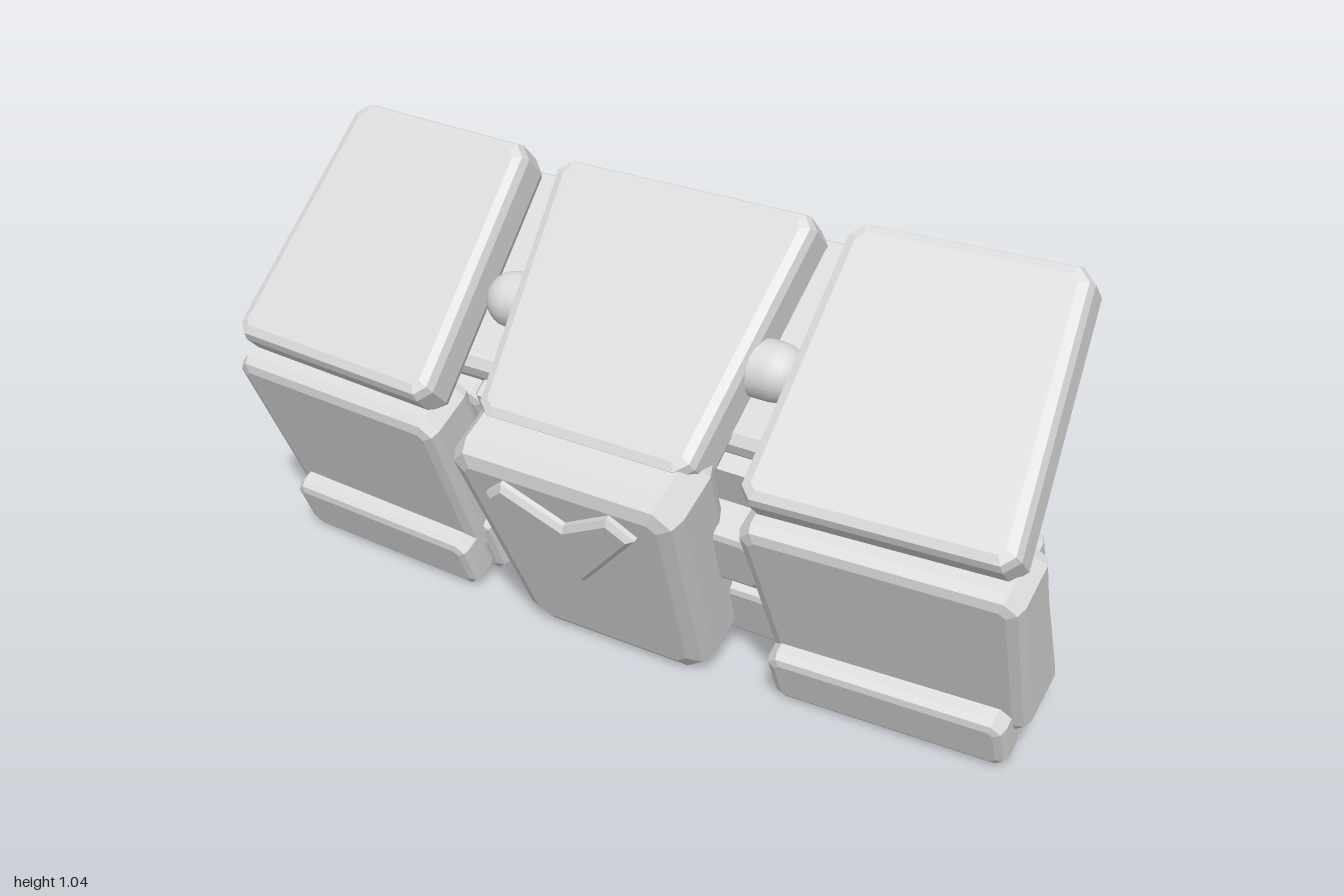
import * as THREE from 'three';

export function createModel() {
  const grey = new THREE.MeshStandardMaterial({ color: 0xdadada });
  grey.name = 'plain grey';
  const model = new THREE.Group();
  model.name = 'chestArmour';

  // Two tilted frames: local y runs along the plates, local z is their outward normal
  const upper = new THREE.Group();
  upper.name = 'upperChest';
  upper.rotation.x = -Math.PI / 4;
  const lower = new THREE.Group();
  lower.name = 'lowerChest';
  lower.rotation.x = 0.428;
  model.add(upper, lower);

  const add = (parent, name, geo) => {
    const mesh = new THREE.Mesh(geo, grey);
    mesh.name = name;
    parent.add(mesh);
    return mesh;
  };

  const bevelled = (pts, depth, b, segments = 2) =>
    new THREE.ExtrudeGeometry(new THREE.Shape(pts.map(p => new THREE.Vector2(...p))), {
      depth: depth - 2 * b, bevelEnabled: true, bevelThickness: b, bevelSize: b,
      bevelOffset: -b, bevelSegments: segments, curveSegments: 1,
    }).translate(0, 0, b);

  // Bevelled plate with clipped corners; bottom = [xa, xb], top = [xa, xb],
  // sweep moves the outer end straight back, level with the ground
  const slab = (parent, name, bottom, top, [s0, s1], [n0, n1], b, sweep = 0, side = 1) => {
    const corners = [[bottom[0], s0], [bottom[1], s0], [top[1], s1], [top[0], s1]]
      .map(([x, y]) => new THREE.Vector2(x * side, y));
    const pts = [];
    corners.forEach((c, i) => {
      for (const other of [corners[(i + 3) % 4], corners[(i + 1) % 4]]) {
        const p = other.clone().sub(c).setLength(b * 1.1).add(c);
        pts.push([p.x, p.y]);
      }
    });
    const geo = bevelled(pts, n1 - n0, b);
    const pos = geo.attributes.position;
    const tilt = parent.rotation.x;
    for (let i = 0; i < pos.count; i++) {
      const dz = -sweep * Math.max(0, Math.abs(pos.getX(i)) - 0.4);
      pos.setY(i, pos.getY(i) + dz * Math.sin(tilt));
      pos.setZ(i, pos.getZ(i) + n0 + dz * Math.cos(tilt));
    }
    geo.computeVertexNormals();
    return add(parent, name, geo);
  };

  // Centre column
  slab(upper, 'upperCentrePanel', [-0.27, 0.27], [-0.33, 0.33], [0.255, 0.882], [0.47, 0.605], 0.028);
  slab(lower, 'lowerCentrePanel', [-0.24, 0.24], [-0.295, 0.295], [0.025, 0.65], [-0.13, 0.077], 0.045);

  // Chevron on the centre panel
  const chevron = bevelled([[0, 0.315], [0.19, 0.55], [0.135, 0.603], [0, 0.515], [-0.135, 0.603], [-0.19, 0.55]],
    0.05, 0.012, 1);
  add(lower, 'chevron', chevron).position.z = 0.05;

  // Wide plate behind the upper panels
  slab(upper, 'upperBackPlate', [-0.86, 0.86], [-0.79, 0.79], [0.35, 0.862], [0.39, 0.52], 0.035, 0.06);

  // Folded back core, drawn as a side profile and extruded across
  const core = bevelled([[-0.14, 0.05], [-0.24, 0.083], [-0.252, 0.14], [-0.145, 0.42], [-0.155, 0.6],
    [-0.19, 0.75], [-0.08, 0.68], [0.1, 0.56]], 0.76, 0.015, 1);
  core.translate(0, 0, -0.38).rotateY(-Math.PI / 2);
  add(model, 'backCore', core);

  // Round-ended crossbar seen in the gaps between the upper panels
  const bar = new THREE.CapsuleGeometry(0.066, 0.67, 6, 20).rotateZ(Math.PI / 2);
  add(upper, 'crossbar', bar).position.set(0, 0.55, 0.52);

  for (const side of [1, -1]) {
    const tag = side > 0 ? 'left' : 'right';
    // Shoulder-side panels
    slab(upper, tag + 'UpperPanel', [0.39, 0.985], [0.405, 0.925], [0.245, 0.885], [0.498, 0.62], 0.028, 0.07, side);
    slab(lower, tag + 'LowerPanel', [0.4, 0.975], [0.385, 1.0], [0.095, 0.588], [-0.155, 0.012], 0.03, 0.06, side);
    // Layered backing
    slab(lower, tag + 'Backing', [0.36, 0.95], [0.36, 0.96], [0.0, 0.545], [-0.235, -0.14], 0.025, 0.03, side);
    slab(lower, tag + 'LowerEdge', [0.38, 0.935], [0.38, 0.935], [0.005, 0.2], [-0.19, -0.02], 0.022, 0.03, side);
    slab(lower, tag + 'FootStrip', [0.405, 0.945], [0.405, 0.95], [0.03, 0.19], [-0.03, 0.058], 0.022, 0.05, side);
    // Arm and pins on the back
    slab(lower, tag + 'BackArm', [0.34, 0.84], [0.34, 0.82], [0.15, 0.275], [-0.312, -0.2], 0.014, 0, side);
    for (const s of [0.13, 0.445]) {
      const pin = new THREE.CylinderGeometry(0.062, 0.062, 0.09, 20).rotateX(Math.PI / 2);
      add(lower, tag + 'BackPin', pin).position.set(0.82 * side, s, -0.243);
    }
    // Inner struts filling the gap beside the centre panel
    slab(lower, tag + 'InnerStrut', [0.2, 0.37], [0.2, 0.37], [0.26, 0.44], [-0.16, -0.05], 0.02, 0, side);
    slab(lower, tag + 'InnerFoot', [0.2, 0.42], [0.2, 0.42], [0.02, 0.2], [-0.18, -0.07], 0.02, 0, side);
  }
  return model;
}
